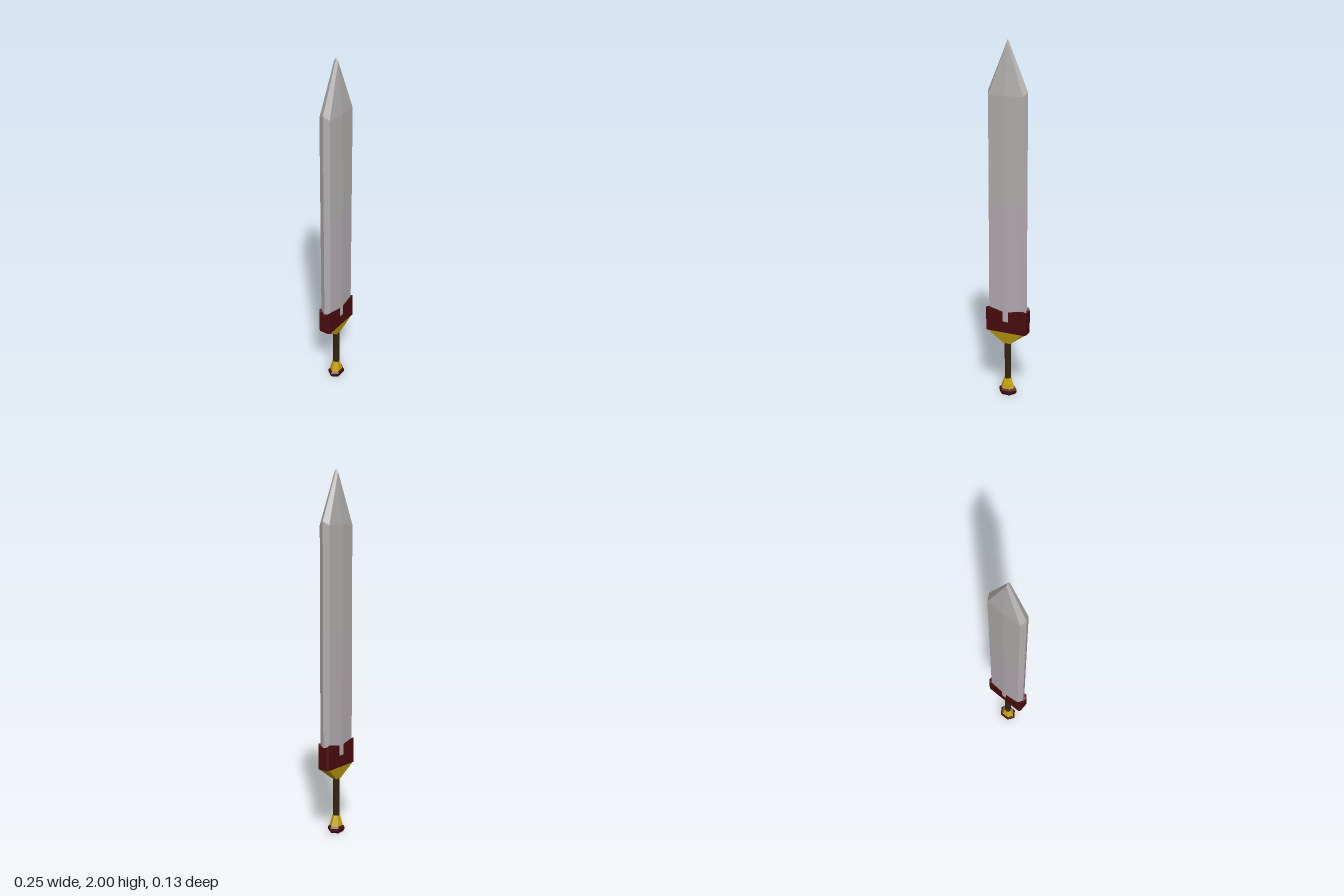
import * as THREE from 'three';

const mat = (name, color, opts = {}) => {
  const m = new THREE.MeshStandardMaterial({ color, flatShading: true, ...opts });
  m.name = name;
  return m;
};

// Joins equal-length rings of [x, y, z] points, bottom to top, and closes both ends.
function loft(rings) {
  const pos = [];
  const tri = (...pts) => pts.forEach((p) => pos.push(...p));
  const middle = (ring) => [0, 1, 2].map((k) => ring.reduce((s, p) => s + p[k], 0) / ring.length);
  const n = rings[0].length;
  const bottom = rings[0], top = rings[rings.length - 1];
  for (let i = 0; i < n; i++) {
    const j = (i + 1) % n;
    for (let r = 0; r + 1 < rings.length; r++) {
      const lo = rings[r], hi = rings[r + 1];
      tri(lo[i], hi[i], lo[j]);
      tri(lo[j], hi[i], hi[j]);
    }
    tri(middle(bottom), bottom[i], bottom[j]);
    tri(middle(top), top[j], top[i]);
  }
  const g = new THREE.BufferGeometry();
  g.setAttribute('position', new THREE.Float32BufferAttribute(pos, 3));
  g.computeVertexNormals();
  return g;
}

// Mirrors one quarter of an outline (from +x round to +z) into a full ring.
function mirrorRing(quarter) {
  const half = [...quarter, ...quarter.slice(0, -1).reverse().map(([x, y, z]) => [-x, y, z])];
  return [...half, ...half.slice(1, -1).reverse().map(([x, y, z]) => [x, y, -z])];
}

// Polygon ring with separate x and z radii.
function polyRing(sides, rx, rz, y) {
  return Array.from({ length: sides }, (_, i) => {
    const a = (i / sides) * Math.PI * 2;
    return [rx * Math.cos(a), y, rz * Math.sin(a)];
  });
}

export function createModel() {
  const group = new THREE.Group();
  const lowerSteel = mat('lowerSteel', 0xb5adb2);
  const upperSteel = mat('upperSteel', 0xb3b1b0);
  const darkRed = mat('darkRed', 0x4a0c0f);
  const gold = mat('gold', 0xc6a512);
  const brown = mat('brown', 0x35240f);

  const add = (name, rings, material) => {
    const mesh = new THREE.Mesh(loft(rings), material);
    mesh.name = name;
    group.add(mesh);
  };

  // Blade: cutting edge, bevel line and centre ridge
  const bladeRing = (yEdge, yFace) =>
    mirrorRing([[0.115, yEdge, 0], [0.1, yFace, 0.032], [0, yFace, 0.038]]);
  const tip = mirrorRing([[0, 2, 0], [0, 1.985, 0.012], [0, 1.985, 0.012]]);
  add('lowerBlade', [bladeRing(0.45, 0.45), bladeRing(1.12, 1.12)], lowerSteel);
  add('upperBlade', [bladeRing(1.12, 1.12), bladeRing(1.73, 1.71), tip], upperSteel);

  // Guard: chamfered block whose rim dips in the middle of each side
  const guardRing = (ySide, yCorner, yFront) => mirrorRing([
    [0.122, ySide, 0], [0.122, yCorner - 0.012, 0.027],
    [0.112, yCorner, 0.037], [0, yFront, 0.037],
  ]);
  add('guard', [guardRing(0.385, 0.385, 0.385).map(([x, , z]) => [x, 0.385, z]),
    guardRing(0.508, 0.527, 0.506)], darkRed);

  // Gold collar narrowing to the grip
  const collarRing = (x, z, y) => mirrorRing([[x, y, 0], [x, y, z * 0.8], [x * 0.92, y, z], [0, y, z]]);
  add('collar', [collarRing(0.019, 0.017, 0.31), collarRing(0.118, 0.035, 0.386)], gold);

  // Grip
  add('grip', [polyRing(8, 0.019, 0.019, 0.08), polyRing(8, 0.019, 0.019, 0.32)], brown);

  // Pommel: gold flare on a dark red foot
  add('pommelFlare', [polyRing(6, 0.044, 0.036, 0.033), polyRing(6, 0.022, 0.021, 0.097)], gold);
  add('pommelFoot', [polyRing(6, 0.044, 0.036, 0), polyRing(6, 0.054, 0.043, 0.012),
    polyRing(6, 0.054, 0.043, 0.027), polyRing(6, 0.044, 0.036, 0.037)], darkRed);

  // The whole sword is turned slightly about its length
  group.rotation.y = THREE.MathUtils.degToRad(15);
  return group;
}
